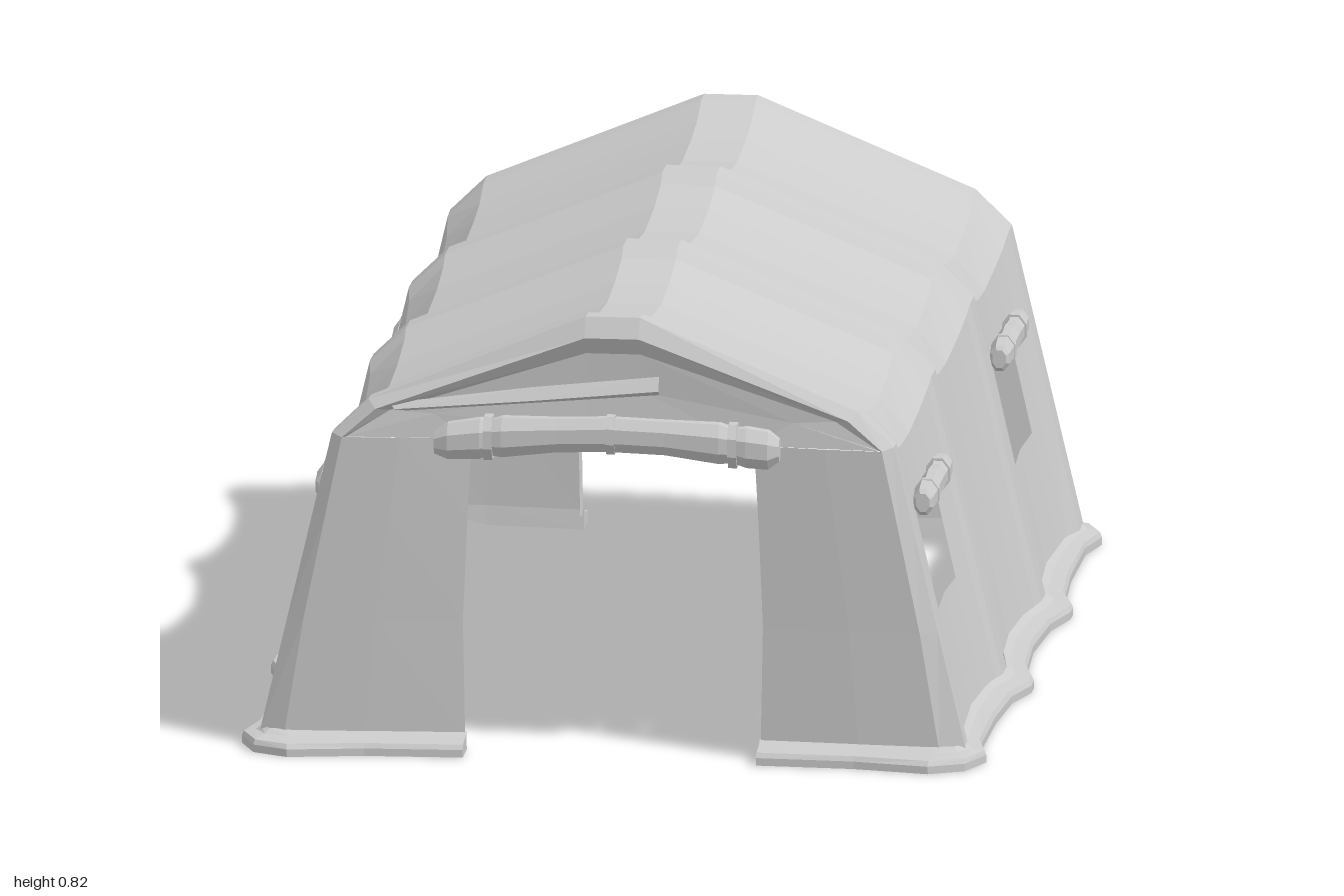
import * as THREE from 'three';

const cloth = new THREE.MeshStandardMaterial({ color: 0xcccccc, flatShading: true, side: THREE.DoubleSide });

// Surface through rows of [x, y, z] points; skip(row, column) leaves holes
function loft(name, rows, skip = () => false) {
  const n = rows[0].length, index = [];
  for (let r = 0; r < rows.length - 1; r++) {
    for (let c = 0; c < n - 1; c++) {
      if (skip(r, c)) continue;
      const a = r * n + c, b = a + 1, d = a + n, e = d + 1;
      index.push(a, b, d, b, e, d);
    }
  }
  const geo = new THREE.BufferGeometry();
  geo.setAttribute('position', new THREE.Float32BufferAttribute(rows.flat(2), 3));
  geo.setIndex(index);
  geo.computeVertexNormals();
  const mesh = new THREE.Mesh(geo, cloth);
  mesh.name = name;
  return mesh;
}

const lerp = THREE.MathUtils.lerp;

// Half cross-section from ground to ridge; s = 1 on a rib, 0 in the sagging bay
function halfProfile(s) {
  const base = [0.62 + 0.03 * s, 0.03], eave = [0.505 + 0.012 * s, 0.545 + 0.05 * s];
  const at = y => [lerp(base[0], eave[0], (y - base[1]) / (eave[1] - base[1])), y];
  return [base, at(0.25), at(0.44), eave, [0.45, 0.61 + 0.05 * s], [0.05, 0.775 + 0.05 * s]];
}
const hemHalf = [[0.603, 0.03], [0.567, 0.25], [0.528, 0.44], [0.497, 0.59], [0.435, 0.645], [0.05, 0.788]];

// Full arch across the tent at a given z
function arch(half, z) {
  return [...half.map(([x, y]) => [x, y, z]), ...half.map(([x, y]) => [-x, y, z]).reverse()];
}

// Roof and side walls with four window openings
function makeShell() {
  const stations = [[0, 0], [0.15, 0.25], [0.245, 0.65], [0.27, 1], [0.33, 1], [0.355, 0.65], [0.46, 0.22],
    [0.58, 0], [0.72, 0.2], [0.8, 0.45], [0.865, 0.95], [0.91, 1]];
  const all = [...stations.slice(1).reverse().map(([z, s]) => [-z, s]), ...stations];
  const rows = all.map(([z, s]) => arch(halfProfile(s), z));
  rows.unshift(arch(hemHalf, -0.928));
  rows.push(arch(hemHalf, 0.928));
  return loft('roofAndSideWalls', rows, (r, c) => {
    const z = Math.abs(rows[r][0][2] + rows[r + 1][0][2]) / 2;
    return (c === 1 || c === 9) && z > 0.46 && z < 0.72;
  });
}

// Rolled cover along x: rings of [position, half height, centre y], plus strap positions
function makeRoll(name, rings, depth, straps, sides = 8) {
  const ring = ([x, r, y], k = 1) => Array.from({ length: sides + 1 }, (_, i) => {
    const a = (i / sides) * Math.PI * 2 + Math.PI / sides;
    return [x, y + Math.sin(a) * r * k, Math.cos(a) * r * k * depth];
  });
  const group = new THREE.Group();
  group.name = name;
  const first = rings[0], last = rings[rings.length - 1];
  group.add(loft('rolledCloth', [ring(first, 0.01), ...rings.map(r => ring(r)), ring(last, 0.01)]));
  for (const [x, r, y] of straps) {
    group.add(loft('strap', [ring([x - 0.008, r, y], 0.8), ring([x - 0.008, r, y]),
      ring([x + 0.008, r, y]), ring([x + 0.008, r, y], 0.8)]));
  }
  return group;
}

// End wall: gable, two door jambs and the rolled door
function makeEnd(name) {
  const group = new THREE.Group();
  group.name = name;
  const mirrorRow = half => [...half, ...half.map(([x, y, z]) => [-x, y, z]).reverse()];
  group.add(loft('gable', [
    mirrorRow([[0.497, 0.59, 0.928], [0.435, 0.645, 0.928], [0.05, 0.788, 0.928]]),
    mirrorRow([[0.49, 0.59, 0.92], [0.41, 0.64, 0.91], [0.05, 0.755, 0.905]]),
    mirrorRow([[0.49, 0.59, 0.92], [0.33, 0.635, 0.908], [0.05, 0.685, 0.9]]),
    mirrorRow([[0.49, 0.59, 0.925], [0.26, 0.59, 0.908], [0.05, 0.61, 0.905]]),
  ]));
  // Overlapping fold of cloth across the gable
  group.add(loft('gableFold', [
    [[-0.41, 0.655, 0.918], [-0.15, 0.69, 0.912], [0.085, 0.715, 0.908]],
    [[-0.4, 0.645, 0.926], [-0.15, 0.667, 0.926], [0.085, 0.69, 0.922]],
    [[-0.38, 0.64, 0.912], [-0.15, 0.66, 0.91], [0.085, 0.68, 0.905]],
  ]));
  for (const side of [1, -1]) {
    const rows = hemHalf.slice(0, 4).map(([x, y], i) => {
      const door = [0.272, 0.276, 0.268, 0.26][i];
      return [[side * x, y, 0.928], [side * lerp(door, x, 0.55), y, 0.922],
        [side * door, y, 0.908], [side * (door + 0.004), y, 0.893]];
    });
    group.add(loft('doorJamb', rows));
  }
  const roll = makeRoll('rolledDoor', [
    [-0.325, 0.022, 0.588], [-0.3, 0.036, 0.592], [-0.24, 0.04, 0.598], [-0.225, 0.034, 0.6], [-0.2, 0.04, 0.602],
    [-0.1, 0.034, 0.608], [-0.01, 0.034, 0.611], [0.01, 0.034, 0.611], [0.1, 0.034, 0.608], [0.2, 0.04, 0.6],
    [0.225, 0.034, 0.597], [0.25, 0.04, 0.594], [0.29, 0.038, 0.59], [0.31, 0.022, 0.59],
  ], 0.75, [[-0.225, 0.044, 0.6], [0, 0.038, 0.611], [0.225, 0.044, 0.597]]);
  roll.position.z = 0.935;
  group.add(roll);
  return group;
}

// Ground skirt along one side, wrapping both corners to the doors
function makeSkirt(side) {
  // [wall x, wall z, outer x, outer z]
  const half = [[0.27, 0.905, 0.27, 0.965], [0.45, 0.92, 0.45, 0.972], [0.595, 0.925, 0.59, 0.998],
    [0.63, 0.922, 0.655, 0.965], [0.647, 0.9, 0.685, 0.89], [0.63, 0.8, 0.665, 0.8], [0.62, 0.58, 0.665, 0.58],
    [0.63, 0.4, 0.675, 0.41], [0.648, 0.33, 0.7, 0.32], [0.648, 0.27, 0.7, 0.28], [0.628, 0.15, 0.675, 0.18],
    [0.62, 0, 0.665, 0]];
  const path = [...half, ...half.slice(0, -1).reverse().map(([a, b, c, d]) => [a, -b, c, -d])];
  const section = [[-0.1, 0.004], [0, 0.04], [0.3, 0.032], [0.9, 0.027], [1, 0.018], [1, 0.004], [-0.1, 0.004]];
  const rows = path.map(([x0, z0, x1, z1]) =>
    section.map(([t, y]) => [side * lerp(x0, x1, t), y, lerp(z0, z1, t)]));
  const cap = row => row.map(p => [p[0], 0.015, lerp(row[0][2], row[4][2], 0.5)]);
  return loft('groundSkirt', [cap(rows[0]), ...rows, cap(rows[rows.length - 1])]);
}

export function createModel() {
  const tent = new THREE.Group();
  tent.name = 'tent';
  tent.add(makeShell());

  const front = makeEnd('frontWall');
  const back = makeEnd('backWall');
  back.rotation.y = Math.PI;
  tent.add(front, back);

  for (const side of [1, -1]) {
    tent.add(makeSkirt(side));
    // Rolled covers above the windows
    for (const z of [0.585, -0.59]) {
      const roll = makeRoll('rolledWindowCover', [
        [-0.153, 0.018, 0], [-0.145, 0.026, 0], [-0.1, 0.03, 0.002], [-0.05, 0.026, 0], [0, 0.028, 0.003],
        [0.06, 0.026, 0], [0.1, 0.03, 0.002], [0.145, 0.027, 0], [0.153, 0.018, 0],
      ], 0.75, [[-0.085, 0.032, 0.001], [0.085, 0.032, 0.001]]);
      roll.rotation.y = side * Math.PI / 2;
      roll.position.set(side * 0.55, 0.452, z);
      tent.add(roll);
    }
  }
  return tent;
}
